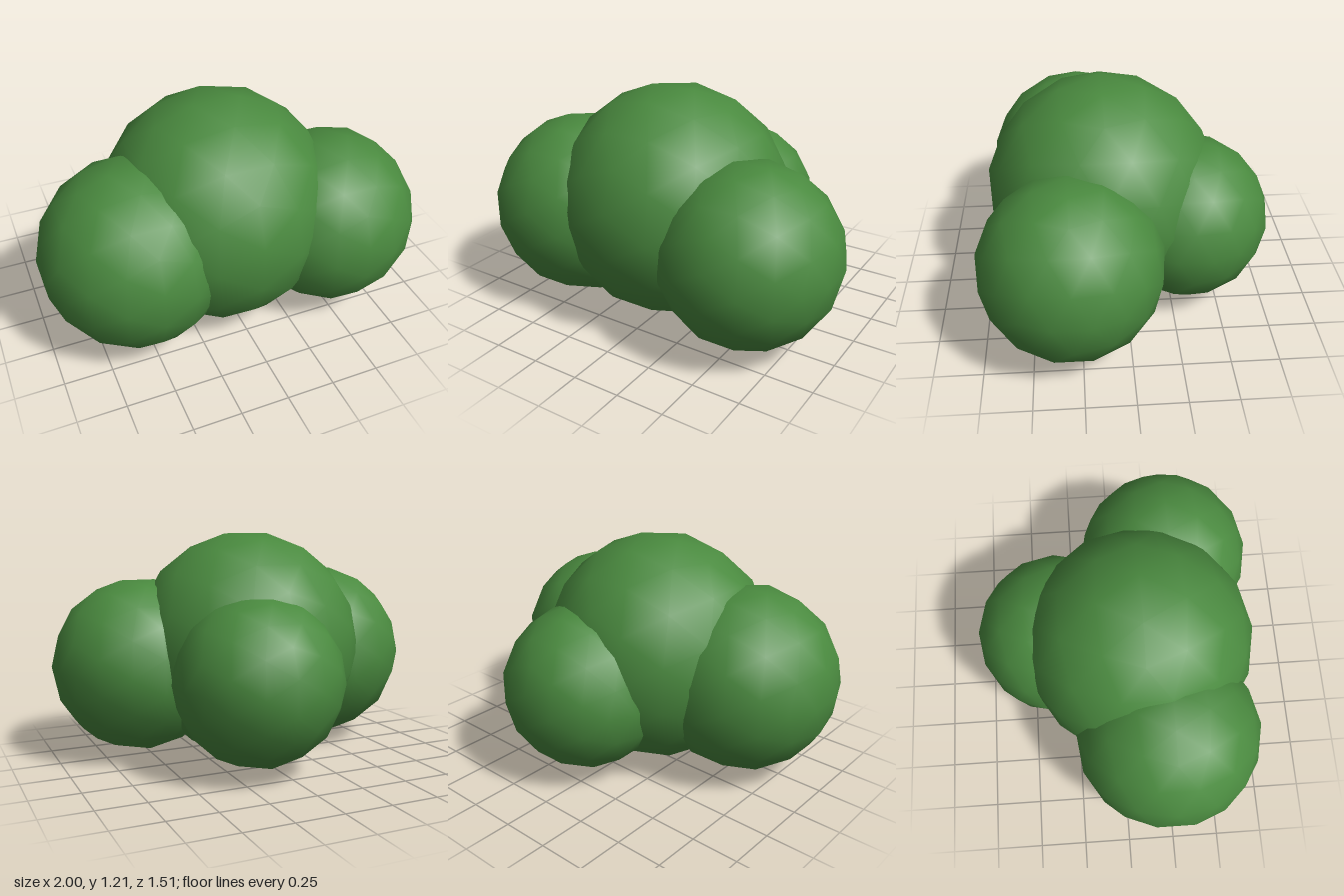
import * as THREE from 'three';

export function createModel() {
  const group = new THREE.Group();
  group.name = 'bush';

  const leafGreen = new THREE.MeshStandardMaterial({ color: 0x4a8a3f });
  leafGreen.name = 'leaf green';

  // Overlapping smooth leaf clumps: name, radius, centre
  const clumps = [
    ['mainClump', 0.617, [-0.02, 0.61, 0.11]],
    ['leftClump', 0.47, [0.54, 0.505, 0.295]],
    ['rightClump', 0.4925, [-0.518, 0.523, 0.233]],
    ['backClump', 0.44, [0.108, 0.483, -0.328]],
  ];
  for (const [name, radius, centre] of clumps) {
    const clump = new THREE.Mesh(new THREE.IcosahedronGeometry(radius, 2), leafGreen);
    clump.name = name;
    clump.position.set(...centre);
    group.add(clump);
  }
  return group;
}
